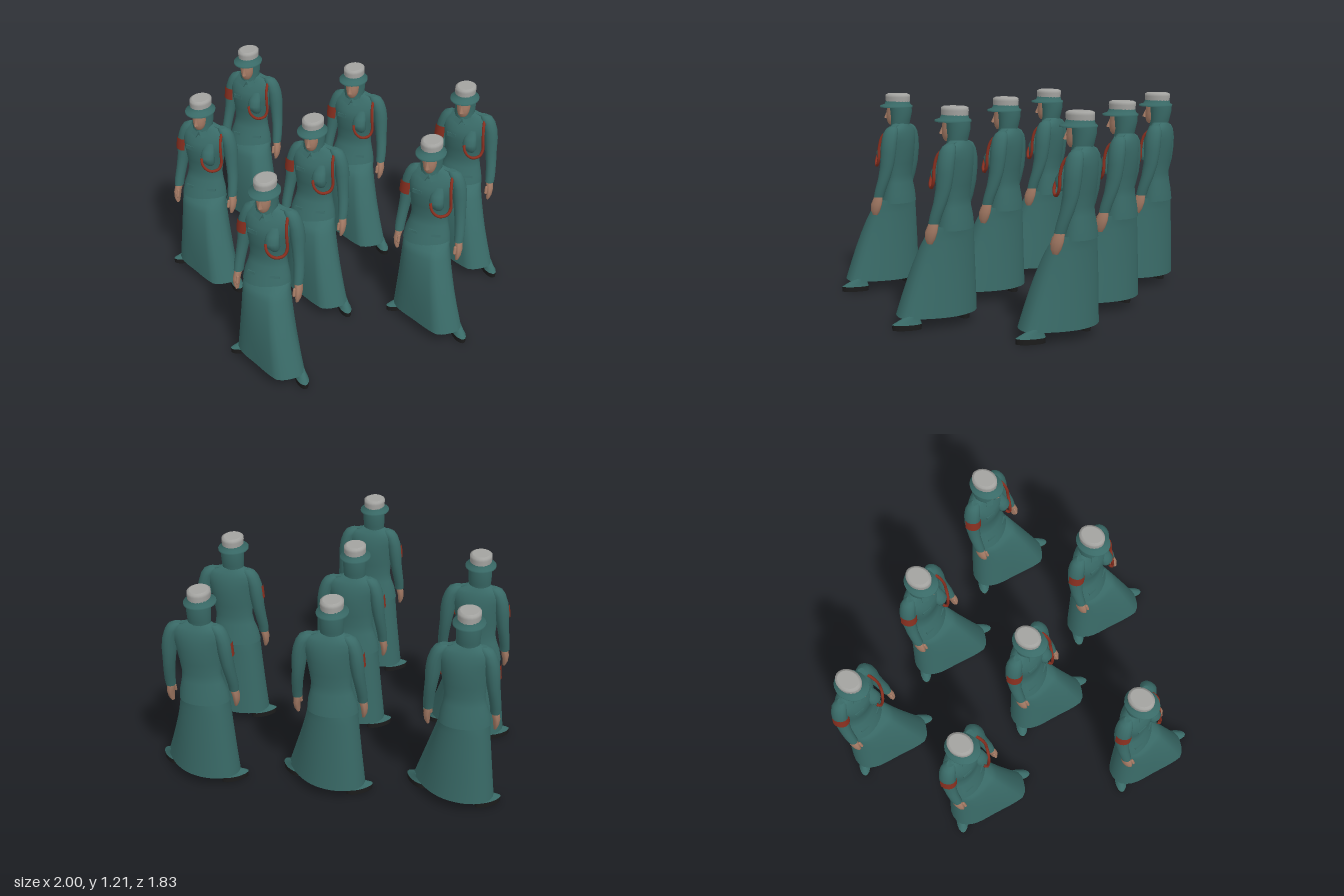
import * as THREE from 'three';

const mat = (name, color) => {
  const m = new THREE.MeshStandardMaterial({ color });
  m.name = name;
  return m;
};

// Closed skin through stacked rings of [x, y, z] points
function skin(rings) {
  const n = rings[0].length, pos = [], idx = [];
  rings.forEach(r => r.forEach(p => pos.push(...p)));
  for (let i = 0; i < rings.length - 1; i++) {
    for (let j = 0; j < n; j++) {
      const a = i * n + j, b = i * n + (j + 1) % n;
      idx.push(a, a + n, b, b, a + n, b + n);
    }
  }
  // end caps with their own corners, so the rims stay sharp
  [rings[0], rings[rings.length - 1]].forEach((r, top) => {
    const base = pos.length / 3;
    r.forEach(p => pos.push(...p));
    pos.push(...[0, 1, 2].map(k => r.reduce((s, p) => s + p[k], 0) / n));
    for (let j = 0; j < n; j++) {
      const a = base + j, b = base + (j + 1) % n;
      idx.push(base + n, ...(top ? [b, a] : [a, b]));
    }
  });
  const g = new THREE.BufferGeometry();
  g.setAttribute('position', new THREE.Float32BufferAttribute(pos, 3));
  g.setIndex(idx);
  g.computeVertexNormals();
  return g;
}

// Oval sections [y, centre x, centre z, radius x, radius z], from bottom to top
const loft = (sections, n = 20) => skin(sections.map(([y, cx, cz, rx, rz]) =>
  Array.from({ length: n }, (_, j) => {
    const a = j / n * Math.PI * 2;
    return [cx + rx * Math.cos(a), y, cz + rz * Math.sin(a)];
  })));

// Long skirt: an oval hip blending into a lopsided striding hem
function skirtGeometry() {
  const hem = [[.2, .02], [.225, .09], [.18, .155], [.11, .193], [.05, .17], [-.06, .105], [-.2, .015],
    [-.24, -.06], [-.2, -.15], [-.1, -.182], [.03, -.155], [.13, -.08]];
  const curve = new THREE.CatmullRomCurve3(hem.map(([x, z]) => new THREE.Vector3(x, 0, z)), true);
  const outline = curve.getSpacedPoints(36).slice(0, 36);
  return skin([.06, .1, .18, .26, .34, .42, .48, .52, .56].map(y => {
    const t = (.56 - y) / .5, tx = t ** 1.05, tz = t ** .52;
    return outline.map(p => {
      const a = Math.atan2(p.z, p.x);
      const hx = -.06 + .138 * Math.cos(a), hz = -.09 + .082 * Math.sin(a);
      return [hx + (p.x - hx) * tx, y, hz + (p.z - hz) * tz];
    });
  }));
}

export function createModel() {
  const teal = mat('teal cloth', 0x396a67), grey = mat('grey crown', 0xa3a3a0);
  const skinTone = mat('skin', 0xa67c66), red = mat('red cloth', 0x8a3020);
  const black = mat('black leather', 0x1c1c1c);

  const figure = new THREE.Group();
  const add = (name, geometry, material, parent = figure) => {
    const m = new THREE.Mesh(geometry, material);
    m.name = name;
    parent.add(m);
    return m;
  };
  const box = (name, size, at, rot) => {
    const m = add(name, new THREE.BoxGeometry(...size), teal);
    m.position.set(...at);
    m.rotation.set(...rot);
  };

  add('skirt', skirtGeometry(), teal);

  // Jacket with slightly flared hem, waist, chest and shoulders
  add('jacket', loft([
    [.535, -.062, -.086, .144, .097], [.6, -.06, -.092, .135, .084], [.66, -.057, -.098, .118, .068],
    [.71, -.055, -.1, .11, .062], [.78, -.053, -.1, .118, .073], [.86, -.05, -.096, .13, .087],
    [.92, -.048, -.1, .142, .084], [.97, -.048, -.11, .147, .069], [1.0, -.05, -.113, .118, .054],
    [1.025, -.056, -.11, .06, .045]], 28), teal);

  // Arms and hands, one on each side of the body's middle line
  for (const s of [-1, 1]) {
    const x = d => -.04 + s * d;
    const side = s > 0 ? 'left' : 'right';
    add(side + 'Sleeve', loft([
      [.585, x(.182), -.054, .028, .032], [.63, x(.181), -.066, .03, .034], [.7, x(.174), -.088, .032, .038],
      [.78, x(.164), -.104, .036, .044], [.86, x(.156), -.11, .043, .049], [.92, x(.148), -.112, .042, .05],
      [.97, x(.132), -.113, .041, .047], [1.0, x(.113), -.114, .04, .036], [1.013, x(.1), -.113, .025, .02]], 14), teal);
    add(side + 'Hand', loft([
      [.472, x(.184), -.03, .009, .016], [.5, x(.189), -.034, .016, .03], [.54, x(.19), -.042, .02, .036],
      [.575, x(.184), -.05, .022, .03], [.6, x(.182), -.055, .02, .025]], 10), skinTone);
    const thumb = add(side + 'Thumb', new THREE.CapsuleGeometry(.009, .035, 3, 6), skinTone);
    thumb.position.set(x(.173), .54, -.01);
    thumb.rotation.x = -.3;
    // Breast pocket flap, hip flap and collar point
    box(side + 'PocketFlap', [.06, .024, .01], [-.055 + s * .062, .882, -.026], [-.05, s * .28, 0]);
    box(side + 'HipFlap', [.055, .016, .008], [-.06 + s * .07, .607, -.022], [-.2, s * .3, 0]);
    box(side + 'CollarPoint', [.045, .05, .012], [-.058 + s * .026, .985, -.05], [-.45, s * .3, s * .5]);
    box(side + 'ShoulderStrap', [.075, .008, .035], [-.045 + s * .088, 1.009, -.113], [0, 0, -s * .22]);
  }

  // Full pouch on the left of the chest
  add('chestPouch', loft([
    [.79, .015, -.025, .02, .02], [.815, .01, -.015, .04, .033], [.85, .005, -.012, .044, .038],
    [.885, .005, -.026, .04, .03], [.93, .005, -.045, .03, .02]], 14), teal);

  // Red patch wrapped round the front and outside of the right upper arm
  const armband = add('armband', new THREE.CylinderGeometry(1, 1, .08, 12, 1, true, -2, 2.5), red);
  armband.scale.set(.048, 1, .054);
  armband.position.set(-.195, .87, -.109);
  armband.rotation.z = -.09;

  // Red cord hanging from the left shoulder in a loop
  const cord = [[.07, 1, -.1], [.078, .95, -.048], [.085, .88, -.03], [.088, .81, -.028], [.075, .775, -.012],
    [.04, .768, .015], [.012, .785, .03], [-.01, .815, .033], [-.022, .85, .02]];
  add('cord', new THREE.TubeGeometry(
    new THREE.CatmullRomCurve3(cord.map(p => new THREE.Vector3(...p))), 32, .009, 6), red);

  // Hood, neck and face
  add('hood', loft([
    [.95, -.058, -.095, .035, .05], [.98, -.058, -.098, .056, .058], [1.01, -.06, -.1, .063, .056],
    [1.04, -.061, -.106, .064, .058], [1.09, -.061, -.108, .067, .068], [1.13, -.061, -.106, .066, .07]]), teal);
  add('face', loft([
    [1.014, -.059, -.052, .02, .022], [1.028, -.059, -.052, .031, .033], [1.05, -.059, -.058, .038, .045],
    [1.08, -.059, -.06, .042, .048], [1.13, -.059, -.066, .043, .048]], 16), skinTone);
  const nose = add('nose', new THREE.ConeGeometry(.015, .05, 4), skinTone);
  nose.position.set(-.059, 1.077, -.01);
  nose.rotation.x = -.15;

  // Hat: drooping brim, band and pale crown
  add('hatBrim', loft([
    [1.122, -.06, -.076, .088, .104], [1.132, -.06, -.077, .088, .104],
    [1.142, -.06, -.085, .07, .083], [1.165, -.06, -.087, .06, .075]], 24), teal);
  add('hatCrown', loft([
    [1.156, -.06, -.087, .062, .077], [1.185, -.06, -.087, .064, .079],
    [1.2, -.06, -.087, .063, .078], [1.207, -.06, -.087, .05, .064]], 20), grey);

  // Shoes, turned outwards, with dark sides and cloth uppers
  [['rightShoe', -.208, -.065, -.8, .6], ['leftShoe', .21, .08, .58, .75]].forEach(([name, x, z, dx, dz]) => {
    const shoe = new THREE.Group();
    shoe.name = name;
    shoe.position.set(x, 0, z);
    shoe.rotation.y = Math.atan2(dx, dz);
    add('shoeBody', loft([[0, 0, 0, .034, .081], [.03, 0, 0, .036, .083]], 16), black, shoe);
    add('shoeTop', loft([
      [.03, 0, 0, .036, .083], [.045, 0, -.01, .029, .067], [.075, 0, -.035, .022, .035]], 16), teal, shoe);
    figure.add(shoe);
  });

  // Formation: two rows of three with one figure ahead
  const model = new THREE.Group();
  const step = .725;
  [[-1, -1], [0, -1], [1, -1], [-1, 0], [0, 0], [1, 0], [0, 1]].forEach(([i, k], n) => {
    const f = figure.clone(true);
    f.name = 'figure' + (n + 1);
    f.position.set(i * step, 0, k * step);
    model.add(f);
  });
  return model;
}
